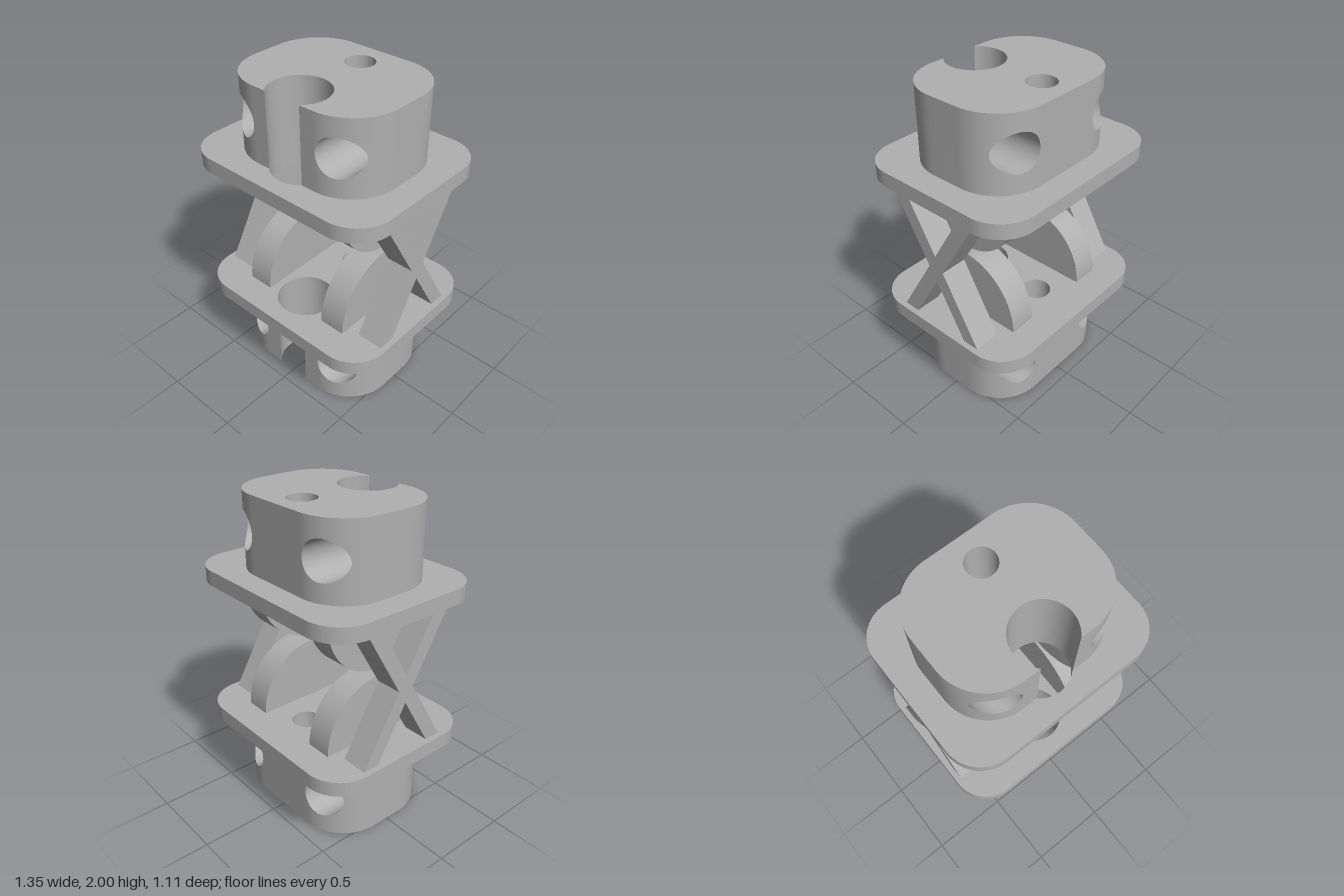
import * as THREE from 'three';
import { toCreasedNormals } from 'three/addons/utils/BufferGeometryUtils.js';

const SLOT = { z: 0.27, r: 0.18 };   // large vertical bore
const PIN = { z: -0.215, r: 0.09 };  // small vertical bore
const CROSS = { x: 0.345, r: 0.12 }; // horizontal bores running front to back
const CORNER = 0.3;

const steps = (n, fn) => Array.from({ length: n + 1 }, (_, i) => fn(i / n));
const arc = (bore, from) => steps(32, t => {
  const a = from + (Math.PI - from) * t;
  return [bore.r * Math.sin(a), bore.z + bore.r * Math.cos(a)];
});
const circle = (bore, k = 1) => new THREE.Path().absarc(0, k * bore.z, bore.r, 0, Math.PI * 2, true);

// Rounded plate with both vertical bores
function plateGeometry(w, d, r, h) {
  const x = w - r, z = d - r;
  const s = new THREE.Shape();
  s.absarc(x, z, r, 0, Math.PI / 2);
  s.absarc(-x, z, r, Math.PI / 2, Math.PI);
  s.absarc(-x, -z, r, Math.PI, Math.PI * 1.5);
  s.absarc(x, -z, r, Math.PI * 1.5, Math.PI * 2);
  s.holes.push(circle(SLOT), circle(PIN));
  const g = new THREE.ExtrudeGeometry(s, { depth: h, bevelEnabled: false, curveSegments: 24 });
  return g.rotateX(Math.PI / 2).translate(0, h, 0);
}

// Outline of the right half of a block: sample positions and depth at x
function blockProfile(X, Z) {
  const cx = X - CORNER;
  const depth = x => x <= cx ? Z : Z - CORNER + Math.sqrt(Math.max(0, CORNER ** 2 - (x - cx) ** 2));
  const holeXs = steps(32, t => CROSS.x - CROSS.r * Math.cos(Math.PI * t));
  const cornerXs = steps(24, t => cx + CORNER * Math.sin(t * Math.PI / 2));
  const xs = [...holeXs, ...cornerXs].sort((a, b) => a - b)
    .filter((x, i, all) => i === 0 || x - all[i - 1] > 1e-5);
  const a0 = Math.acos((Z - SLOT.z) / SLOT.r);
  return { depth, holeXs, xs, slot: arc(SLOT, a0) };
}

// Walls of a block, built on the right half and mirrored
function blockWalls(X, Z, y0, y1, yc) {
  const { depth, holeXs, xs, slot } = blockProfile(X, Z);
  const pos = [];
  const tri = (a, b, c) => {
    pos.push(...a, ...b, ...c);
    for (const p of [a, c, b]) pos.push(-p[0], p[1], p[2]);
  };
  const ribbon = (A, B) => {
    for (let i = 0; i < A.length - 1; i++) {
      tri(A[i], A[i + 1], B[i + 1]);
      tri(A[i], B[i + 1], B[i]);
    }
  };
  const h = x => Math.sqrt(Math.max(0, CROSS.r ** 2 - (x - CROSS.x) ** 2));
  const line = (list, y, s) => list.map(x => [x, y(x), s * depth(x)]);
  const low = x => yc - h(x), high = x => yc + h(x), base = () => y0, top = () => y1;

  // front and back faces around the horizontal bores
  const front = [slot[0][0], ...xs], back = [0, ...xs];
  ribbon(line(front, base, 1), line(front, low, 1));
  ribbon(line(front, high, 1), line(front, top, 1));
  ribbon(line(back, low, -1), line(back, base, -1));
  ribbon(line(back, top, -1), line(back, high, -1));
  // horizontal bore lining
  ribbon(line(holeXs, high, -1), line(holeXs, high, 1));
  ribbon(line(holeXs, low, 1), line(holeXs, low, -1));
  // flat side
  const e = Z - CORNER;
  ribbon([[X, y0, e], [X, y0, -e]], [[X, y1, e], [X, y1, -e]]);
  // vertical bore linings
  for (const path of [slot, arc(PIN, 0)]) {
    ribbon(path.map(([x, z]) => [x, y1, z]), path.map(([x, z]) => [x, y0, z]));
  }
  const g = new THREE.BufferGeometry();
  g.setAttribute('position', new THREE.Float32BufferAttribute(pos, 3));
  return g;
}

// Outer end face of a block
function blockCap(X, Z, y, up) {
  const { depth, xs, slot } = blockProfile(X, Z);
  const right = [[0, -Z], ...xs.map(x => [x, -depth(x)]),
    ...[...xs].reverse().map(x => [x, depth(x)]), ...slot];
  const left = right.slice(1, -1).reverse().map(([x, z]) => [-x, z]);
  const k = up ? -1 : 1;
  const s = new THREE.Shape([...right, ...left].map(([x, z]) => new THREE.Vector2(x, k * z)));
  s.holes.push(circle(PIN, k));
  return new THREE.ShapeGeometry(s, 24).rotateX(k * Math.PI / 2).translate(0, y, 0);
}

// Profile in the side plane, extruded across x
function sideExtrude(shape, x, width) {
  return new THREE.ExtrudeGeometry(shape, { depth: width, bevelEnabled: false, curveSegments: 40 })
    .rotateY(Math.PI / 2).translate(x - width / 2, 0, 0);
}

export function createModel() {
  const model = new THREE.Group();
  model.name = 'jointedBlock';
  const grey = new THREE.MeshStandardMaterial({ color: 0xb0b0b0 });
  grey.name = 'grey';
  const add = (name, geometry, parent = model) => {
    const mesh = new THREE.Mesh(toCreasedNormals(geometry, 0.5), grey);
    mesh.name = name;
    parent.add(mesh);
  };

  // End blocks
  const blocks = [
    { name: 'lowerBlock', X: 0.533, Z: 0.41, y0: 0, y1: 0.48, yc: 0.24, up: false },
    { name: 'upperBlock', X: 0.515, Z: 0.4, y0: 1.53, y1: 2, yc: 1.768, up: true },
  ];
  for (const { name, X, Z, y0, y1, yc, up } of blocks) {
    const block = new THREE.Group();
    block.name = name;
    add(name + 'Walls', blockWalls(X, Z, y0, y1, yc), block);
    add(name + 'Cap', blockCap(X, Z, up ? y1 : y0, up), block);
    model.add(block);
  }

  // Plates
  add('lowerPlate', plateGeometry(0.675, 0.555, 0.23, 0.095).translate(0, 0.48, 0));
  add('upperPlate', plateGeometry(0.675, 0.555, 0.23, 0.095).translate(0, 1.435, 0));

  // Rounded bearing lobes and crossed flexure strips on both sides
  const lowerLobe = new THREE.Shape().absellipse(0, 0.575, 0.37, 0.4, 0, Math.PI);
  const upperLobe = new THREE.Shape().absellipse(0, 1.435, 0.37, 0.4, Math.PI, Math.PI * 2);
  const half = [[0.2, 0.575], [0.307, 0.575], [0.054, 1.005], [0.307, 1.435], [0.2, 1.435], [0, 1.095]];
  const cross = new THREE.Shape([...half, ...half.slice(0, 5).reverse().map(([z, y]) => [-z, y]), [0, 0.915]]
    .map(([z, y]) => new THREE.Vector2(z, y)));
  for (const [side, s] of [['left', 1], ['right', -1]]) {
    add(side + 'LowerLobe', sideExtrude(lowerLobe, s * 0.31, 0.17));
    add(side + 'UpperLobe', sideExtrude(upperLobe, s * 0.31, 0.17));
    add(side + 'CrossStrips', sideExtrude(cross, s * 0.555, 0.17));
  }
  return model;
}
